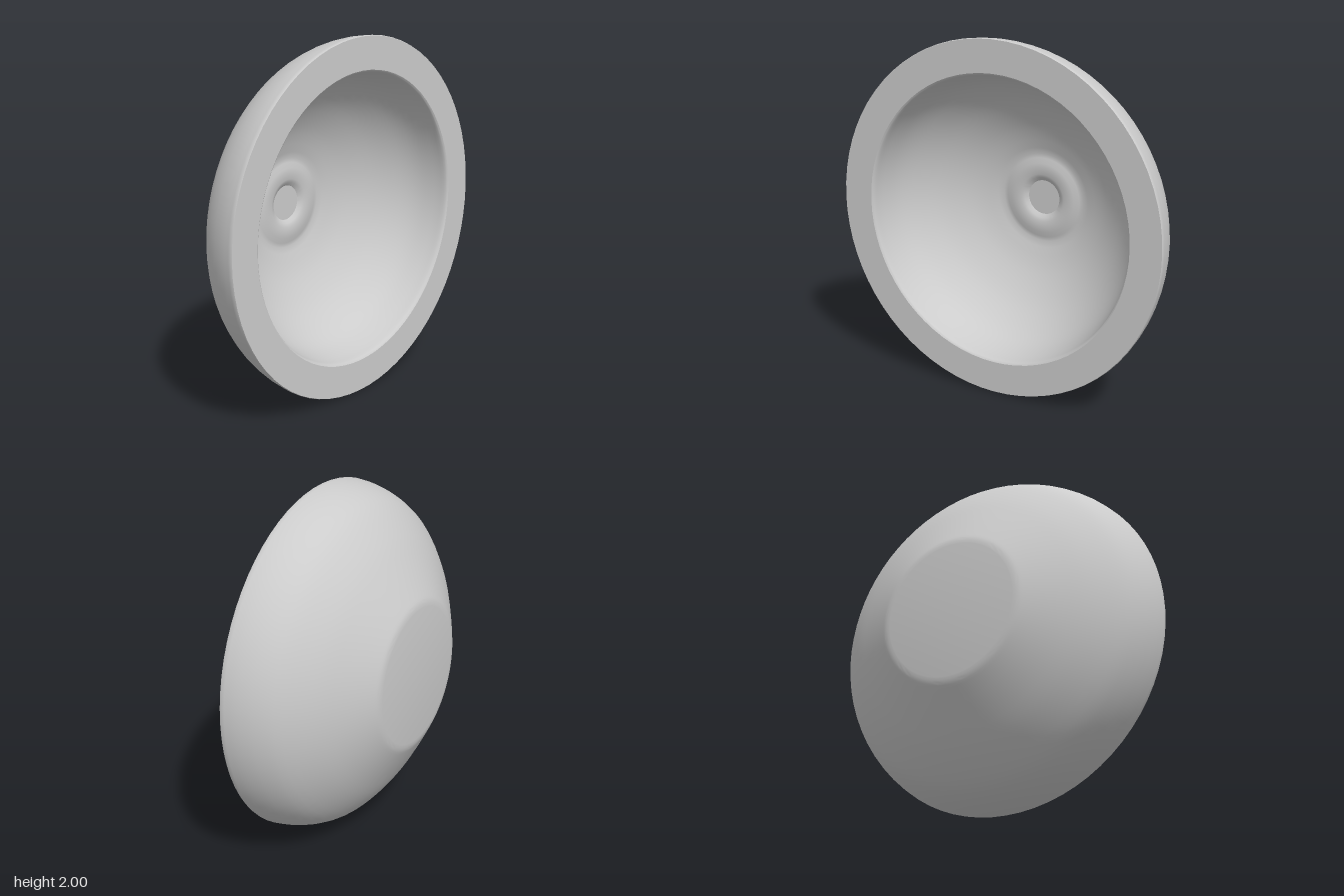
import * as THREE from 'three';
import { toCreasedNormals } from 'three/addons/utils/BufferGeometryUtils.js';

// Smooth run of [radius, depth] points for the turned profile
function curve(points, divisions) {
  return new THREE.SplineCurve(points.map(([r, z]) => new THREE.Vector2(r, z))).getPoints(divisions);
}

export function createModel() {
  const group = new THREE.Group();
  group.name = 'bowl';
  const material = new THREE.MeshStandardMaterial({ color: 0xcccccc });

  // Outer wall, from the rounded foot edge up to the rim
  const outer = curve([
    [0.39, -0.3], [0.42, -0.294], [0.46, -0.275], [0.605, -0.195], [0.75, -0.105],
    [0.885, 0.01], [0.95, 0.11], [0.985, 0.21], [0.998, 0.292],
  ], 26);

  // Inner wall, from the softened lip down to the floor
  const inner = curve([
    [0.815, 0.3], [0.803, 0.285], [0.79, 0.22], [0.755, 0.11], [0.69, 0.01],
    [0.58, -0.095], [0.42, -0.19], [0.26, -0.245],
  ], 24);

  // Raised ring with a shallow dimple in the middle of the floor
  const boss = [
    [0.235, -0.243], [0.205, -0.232], [0.14, -0.232], [0.12, -0.24], [0.1, -0.255], [0, -0.255],
  ].map(([r, z]) => new THREE.Vector2(r, z));

  const profile = [
    new THREE.Vector2(0, -0.3), ...outer, new THREE.Vector2(0.995, 0.3), ...inner, ...boss,
  ];
  const geometry = toCreasedNormals(new THREE.LatheGeometry(profile, 72), 0.5);
  const shell = new THREE.Mesh(geometry, material);
  shell.name = 'bowlShell';

  // Tip the bowl so its opening faces the front
  shell.rotation.x = Math.PI / 2;
  shell.position.y = 1;
  group.add(shell);
  return group;
}
